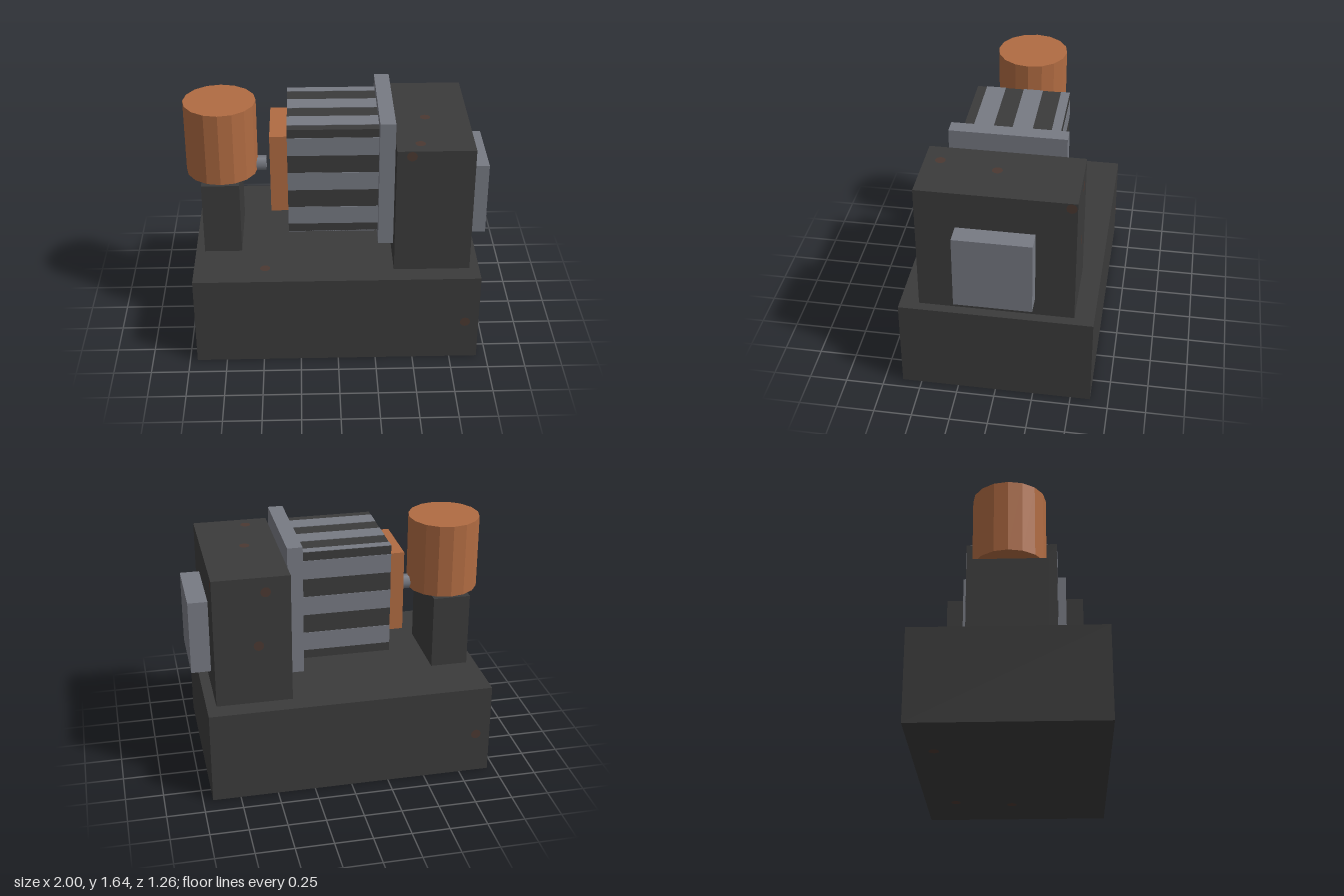
import * as THREE from 'three';

export function createModel() {
  const model = new THREE.Group();
  const mat = (name, color) => {
    const m = new THREE.MeshStandardMaterial({ color });
    m.name = name;
    return m;
  };
  const dark = mat('dark iron', 0x3b3b3b);
  const steel = mat('grey steel', 0x777a83);
  const copper = mat('copper', 0xb06b42);
  const stain = mat('rust stain', 0x4b3932);
  copper.flatShading = true;

  const add = (name, geometry, material, parent = model) => {
    const mesh = new THREE.Mesh(geometry, material);
    mesh.name = name;
    parent.add(mesh);
    return mesh;
  };
  // Box given by its limits on each axis
  const box = (name, material, [x0, x1], [y0, y1], [z0, z1], parent) => {
    const mesh = add(name, new THREE.BoxGeometry(x1 - x0, y1 - y0, z1 - z0), material, parent);
    mesh.position.set((x0 + x1) / 2, (y0 + y1) / 2, (z0 + z1) / 2);
    return mesh;
  };

  // Base and headstock
  box('base', dark, [-0.95, 0.935], [0, 0.63], [-0.63, 0.627]);
  box('headstock', dark, [0.37, 0.87], [0.63, 1.51], [-0.502, 0.502]);
  box('endPlate', steel, [0.87, 1], [0.757, 1.26], [-0.25, 0.25]);
  box('flange', steel, [0.27, 0.37], [0.757, 1.637], [-0.377, 0.377]);

  // Striped coil block
  const coil = new THREE.Group();
  coil.name = 'coil';
  model.add(coil);
  const length = [-0.32, 0.27];
  const [y0, y1, half, t] = [0.82, 1.573, 0.312, 0.003];
  box('coilCore', dark, length, [y0, y1], [-half, half], coil);
  for (const [a, b] of [[0.88, 1.007], [1.135, 1.263], [1.388, 1.515]]) {
    for (const s of [-1, 1]) {
      box('sideStripe', steel, length, [a, b], [s * half - t, s * half + t], coil);
    }
  }
  for (const [a, b] of [[-half, -0.252], [-0.13, 0], [0.122, 0.25]]) {
    box('topStripe', steel, length, [y1 - t, y1 + t], [a, b], coil);
    box('bottomStripe', steel, length, [y0 - t, y0 + t], [-b, -a], coil);
  }
  box('contactPlate', copper, [-0.435, -0.32], [0.923, 1.475], [-0.213, 0.213]);

  // Post with drum and short pin
  box('post', dark, [-0.89, -0.64], [0.63, 1.135], [-0.25, 0.25]);
  const drum = add('drum', new THREE.CylinderGeometry(0.239, 0.239, 0.5, 16), copper);
  drum.position.set(-0.761, 1.387, 0);
  const pin = add('pin', new THREE.CylinderGeometry(0.05, 0.05, 0.135, 6), steel);
  pin.rotation.z = Math.PI / 2;
  pin.position.set(-0.5325, 1.172, 0);

  // Faint rust spots: position and outward direction
  const spots = [
    [0.465, 1.475, 0.502, 0, 0, 1], [0.845, 0.285, 0.627, 0, 0, 1],
    [0.53, 1.41, -0.502, 0, 0, -1], [0.583, 1.04, -0.502, 0, 0, -1],
    [-0.855, 0.285, -0.63, 0, 0, -1], [0.87, 1.475, -0.465, 1, 0, 0],
    [0.585, 1.51, 0.03, 0, 1, 0], [0.525, 1.51, 0.4, 0, 1, 0],
    [-0.48, 0.63, 0.47, 0, 1, 0], [0.59, 0, -0.03, 0, -1, 0],
    [0.53, 0, -0.42, 0, -1, 0], [-0.48, 0, -0.48, 0, -1, 0],
  ];
  const disc = new THREE.CircleGeometry(0.034, 12);
  for (const [x, y, z, nx, ny, nz] of spots) {
    const normal = new THREE.Vector3(nx, ny, nz);
    const spot = add('rustSpot', disc, stain);
    spot.quaternion.setFromUnitVectors(new THREE.Vector3(0, 0, 1), normal);
    spot.position.set(x, y, z).addScaledVector(normal, 0.002);
  }
  return model;
}
